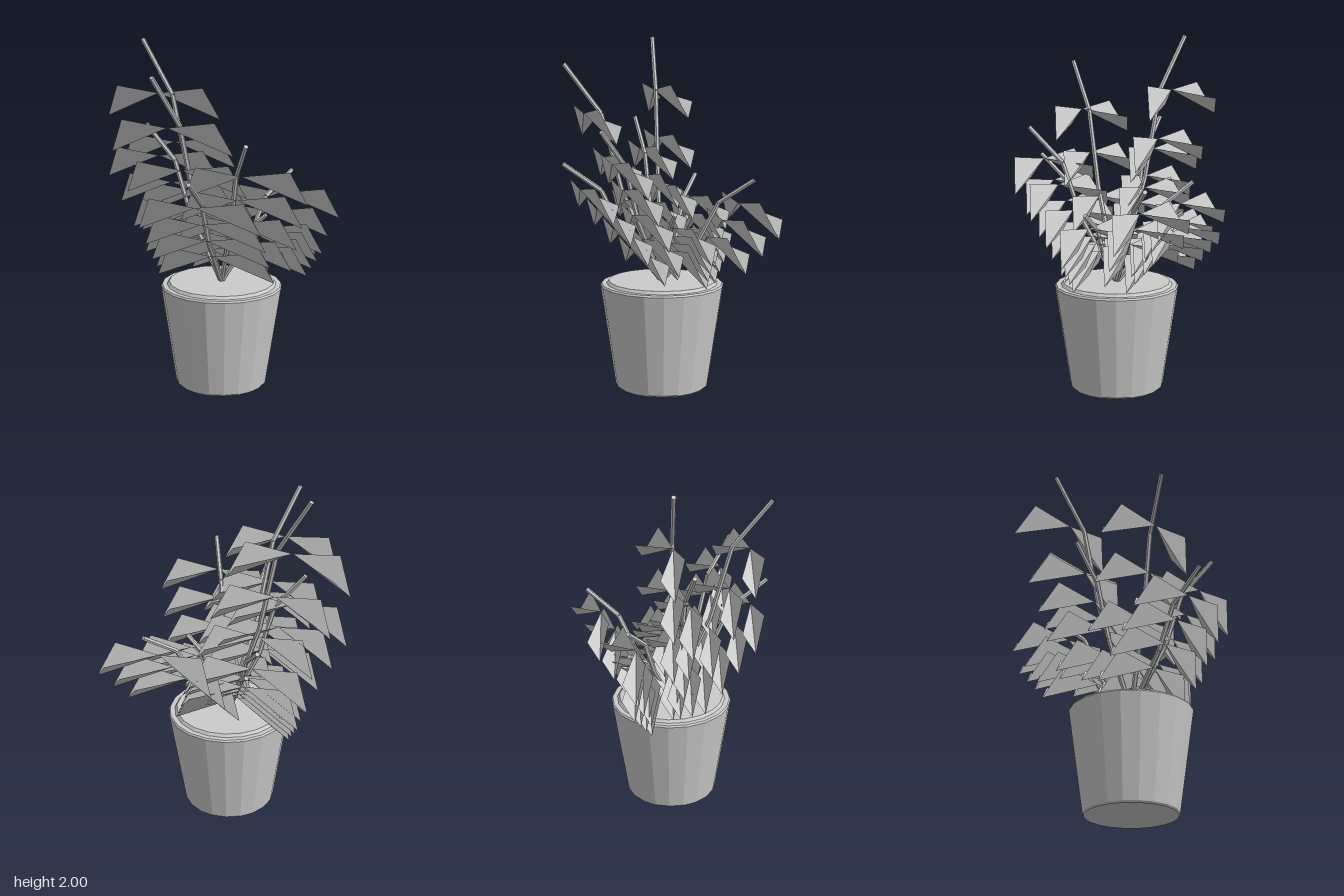
import * as THREE from 'three';

const BASE = new THREE.Vector3(0.066, 0.61, -0.04);
const grey = new THREE.MeshStandardMaterial({ color: 0xcccccc, flatShading: true });
const thin = new THREE.MeshStandardMaterial({ color: 0xcccccc, flatShading: true, side: THREE.DoubleSide });

// Stem tips and the number of leaf nodes along each stem
const STEMS = [
  { tip: [-0.44, 1.99, -0.16], nodes: 4 },
  { tip: [-0.18, 1.84, 0.46], nodes: 4 },
  { tip: [0.31, 1.49, 0.39], nodes: 5 },
  { tip: [0.04, 1.30, 0.53], nodes: 5 },
  { tip: [-0.38, 1.52, -0.03], nodes: 5 },
  { tip: [0.39, 1.21, -0.46], nodes: 5 },
  { tip: [-0.23, 1.18, -0.36], nodes: 5 },
  { tip: [0.33, 1.03, -0.02], nodes: 8 },
  { tip: [-0.16, 1.01, -0.34], nodes: 7 },
];

// Two folded leaves mirrored in x, each a pair of triangles meeting at the midrib
function leafPairGeometry() {
  const points = [];
  for (const s of [1, -1]) {
    const root = [0, 0, 0];
    const front = [s * 0.26, 0.035, -0.01];
    const back = [s * 0.27, -0.06, -0.14];
    const tip = [s * 0.345, -0.155, -0.085];
    const faces = s > 0
      ? [root, front, tip, root, tip, back]
      : [root, tip, front, root, back, tip];
    points.push(...faces.flat());
  }
  const g = new THREE.BufferGeometry();
  g.setAttribute('position', new THREE.Float32BufferAttribute(points, 3));
  g.computeVertexNormals();
  return g;
}

// Straight six-sided rod between two points
function rod(a, b, r0, r1) {
  const dir = b.clone().sub(a);
  const mesh = new THREE.Mesh(new THREE.CylinderGeometry(r1, r0, dir.length(), 6), grey);
  mesh.position.copy(a).addScaledVector(dir, 0.5);
  mesh.quaternion.setFromUnitVectors(new THREE.Vector3(0, 1, 0), dir.normalize());
  mesh.name = 'stemSegment';
  return mesh;
}

function makeStem({ tip, nodes }, leafGeometry) {
  const group = new THREE.Group();
  group.name = 'stem';
  const end = new THREE.Vector3(...tip);
  const span = end.clone().sub(BASE);

  // Bent stalk: [outward fraction, upward fraction] of each knot
  const knots = [[0, 0], [0.41, 0.42], [0.62, 0.775], [1, 1]].map(([out, up]) =>
    new THREE.Vector3(span.x * out, span.y * up, span.z * out).add(BASE));
  for (let i = 0; i < 3; i++) {
    group.add(rod(knots[i], knots[i + 1], 0.015 - i * 0.0005, 0.0145 - i * 0.0005));
  }

  // Leaf pairs follow the straight line to the tip, leaving the foot bare
  for (let i = 1; i <= nodes; i++) {
    const t = i / (nodes + 1);
    if (span.y * t < 0.2) continue;
    const leaves = new THREE.Mesh(leafGeometry, thin);
    leaves.position.copy(BASE).addScaledVector(span, t);
    leaves.position.y -= 0.03;
    leaves.name = 'leafPair';
    group.add(leaves);
  }
  return group;
}

export function createModel() {
  const model = new THREE.Group();
  model.name = 'pottedPlant';

  // Tapered pot with small bevels, closed by the raised soil disc
  const profile = [
    [0, 0], [0.26, 0], [0.268, 0.01], [0.353, 0.59], [0.346, 0.6], [0.318, 0.6],
  ].map(([r, y]) => new THREE.Vector2(r, y));
  const pot = new THREE.Mesh(new THREE.LatheGeometry(profile, 20), grey);
  pot.position.set(BASE.x, 0, BASE.z);
  pot.name = 'pot';
  model.add(pot);

  const soil = new THREE.Mesh(new THREE.CylinderGeometry(0.305, 0.318, 0.016, 20), grey);
  soil.position.set(BASE.x, 0.608, BASE.z);
  soil.name = 'soil';
  model.add(soil);

  const leafGeometry = leafPairGeometry();
  for (const stem of STEMS) model.add(makeStem(stem, leafGeometry));
  return model;
}
